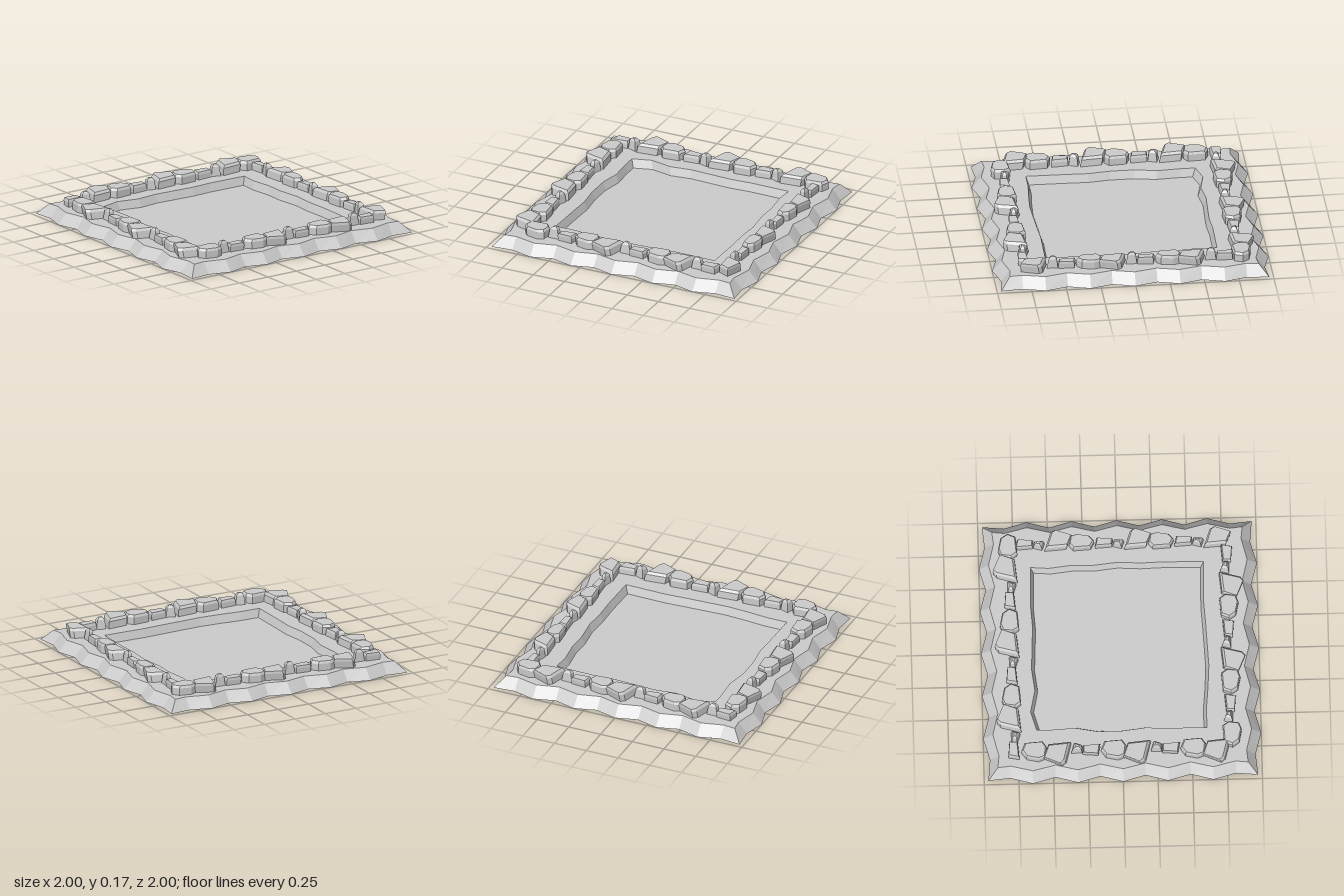
import * as THREE from 'three';
import { ConvexGeometry } from 'three/addons/geometries/ConvexGeometry.js';

const material = new THREE.MeshStandardMaterial({ color: 0xcccccc, flatShading: true });
const GROUND = 0.08, FLOOR = 0.02;

function part(name, geometry) {
  const mesh = new THREE.Mesh(geometry, material);
  mesh.name = name;
  return mesh;
}

// Square outline with zigzag sides, counter-clockwise seen from above (x, -z)
function zigzag(corner, peak, valley) {
  const points = [];
  for (let side = 0; side < 4; side++) {
    const angle = side * Math.PI / 2, centre = new THREE.Vector2();
    for (let k = 0; k < 12; k++) {
      const p = k === 0
        ? new THREE.Vector2(-corner, -corner)
        : new THREE.Vector2((k - 6) * 0.162, -(k % 2 ? valley : peak));
      points.push(p.rotateAround(centre, angle));
    }
  }
  return points;
}

// Band of quads between two loops with the same number of points
function band(a, ya, b, yb) {
  const positions = [];
  a.forEach((p, i) => {
    const j = (i + 1) % a.length;
    const p0 = [p.x, ya, -p.y], p1 = [a[j].x, ya, -a[j].y];
    const q0 = [b[i].x, yb, -b[i].y], q1 = [b[j].x, yb, -b[j].y];
    positions.push(...p0, ...p1, ...q1, ...p0, ...q1, ...q0);
  });
  const geometry = new THREE.BufferGeometry();
  geometry.setAttribute('position', new THREE.Float32BufferAttribute(positions, 3));
  geometry.computeVertexNormals();
  return geometry;
}

// Flat face at a height, optionally with a hole
function flat(outline, y, hole) {
  const shape = new THREE.Shape(outline);
  if (hole) shape.holes.push(new THREE.Path(hole));
  return new THREE.ShapeGeometry(shape).rotateX(-Math.PI / 2).translate(0, y, 0);
}

// Stone types: outline in hundredths (along, outward), height, top scale and top shift
const stones = {
  R: { name: 'blockStone', top: 0.135, scale: 0.86, shift: [0, 0.005],
    outline: [[-6.5, -4], [6, -3], [6.5, 3], [-5, 4]] },
  S: { name: 'pebble', top: 0.166, scale: 0.3, shift: [0, 0],
    outline: [[-4.5, -2.5], [2.5, -5], [4.5, 2], [-4, 2]] },
  A: { name: 'angularStone', top: 0.15, scale: 0.85, shift: [0.016, 0.012],
    outline: [[-10, -6], [6, -4.5], [9.8, 6], [-3, 11.5], [-6, 9]] },
  O: { name: 'roundedStone', top: 0.15, scale: 0.86, shift: [0, 0],
    outline: [[-9, -1.5], [-6, -6], [7, -5], [9.5, 1], [6, 6], [-3, 8], [-8, 6]] },
};

function stoneGeometry({ outline, top, scale, shift }) {
  const cx = outline.reduce((s, p) => s + p[0], 0) / outline.length;
  const cy = outline.reduce((s, p) => s + p[1], 0) / outline.length;
  const points = [];
  // Foot, bevel line and top face
  for (const [y, s, t] of [[GROUND - 0.01, 0.97, 0], [top - 0.018, (scale + 1.12) / 2, 0.6], [top, scale, 1]]) {
    for (const [u, v] of outline) {
      points.push(new THREE.Vector3(
        (cx + (u - cx) * s) / 100 + shift[0] * t, y,
        -(cy + (v - cy) * s) / 100 - shift[1] * t));
    }
  }
  return new ConvexGeometry(points);
}

export function createModel() {
  const model = new THREE.Group();
  model.name = 'stoneBorderedPit';

  // Sloped ground slab
  const foot = zigzag(0.97, 1, 0.955), edge = zigzag(0.9, 0.93, 0.89);
  const rim = [
    [-0.63, -0.61], [-0.48, -0.61], [-0.32, -0.625], [-0.155, -0.635], [0.165, -0.62], [0.325, -0.61], [0.64, -0.615],
    [0.645, -0.33], [0.64, -0.165], [0.65, 0], [0.63, 0.18], [0.635, 0.33], [0.615, 0.5], [0.625, 0.63],
    [0.325, 0.635], [0.17, 0.625], [-0.155, 0.64], [-0.315, 0.62], [-0.48, 0.655], [-0.62, 0.615],
    [-0.62, 0.51], [-0.61, 0.34], [-0.64, 0.18], [-0.64, 0], [-0.62, -0.165], [-0.625, -0.315],
  ].map(([x, y]) => new THREE.Vector2(x, y));
  const floor = rim.map((p) => p.clone().multiplyScalar(0.965));
  model.add(
    part('outerSlope', band(foot, 0, edge, GROUND)),
    part('groundTop', flat(edge, GROUND, rim)),
    part('pitWall', band(rim, GROUND, floor, FLOOR)),
    part('pitFloor', flat(floor, FLOOR)),
    part('underside', flat(foot, 0).rotateX(Math.PI)),
  );

  // Rows of stones: a repeating run of four types along each side
  const geometries = {};
  for (const key in stones) geometries[key] = stoneGeometry(stones[key]);
  const offsets = [0, 0.105, 0.24, 0.41], period = 0.572;
  const rows = [
    { name: 'backStones', turn: 0, start: -0.78, out: 0.78, depth: 1, run: 'RSAORSAORSAO' },
    { name: 'rightStones', turn: 1, start: -0.92, out: 0.785, depth: 1, run: '  AORSAORSAO' },
    { name: 'frontStones', turn: 2, start: -0.69, out: 0.78, depth: 1, run: 'RSAORSAORSO' },
    { name: 'leftStones', turn: 3, start: -0.67, out: 0.79, depth: 0.8, run: 'RSAORSAORSA' },
  ];
  for (const { name, turn, start, out, depth, run } of rows) {
    const row = new THREE.Group();
    row.name = name;
    [...run].forEach((key, i) => {
      if (key === ' ') return;
      const stone = part(stones[key].name, geometries[key]);
      stone.position.set(start + Math.floor(i / 4) * period + offsets[i % 4], 0, -out);
      stone.scale.z = depth;
      row.add(stone);
    });
    row.rotation.y = turn * Math.PI / 2;
    model.add(row);
  }
  return model;
}
